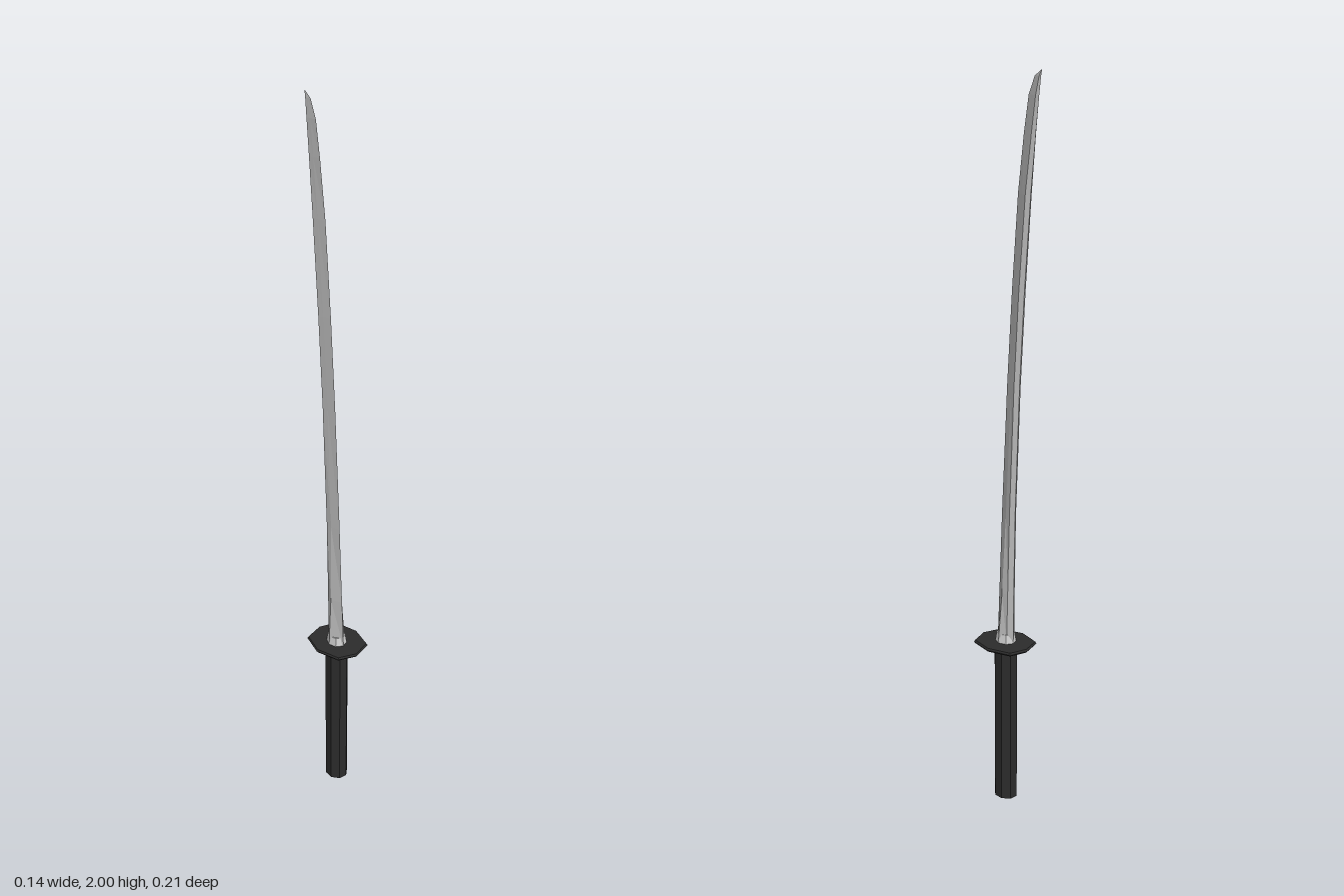
import * as THREE from 'three';

// Joins rings of [x, y, z] points into a closed flat-shaded solid
function loft(rings) {
  const pos = [];
  const n = rings[0].length;
  const tri = (a, b, c) => pos.push(...a, ...b, ...c);
  for (let i = 0; i < rings.length - 1; i++) {
    for (let j = 0; j < n; j++) {
      const k = (j + 1) % n;
      const [a, b, c, d] = [rings[i][j], rings[i][k], rings[i + 1][k], rings[i + 1][j]];
      tri(a, c, b);
      tri(a, d, c);
    }
  }
  const first = rings[0], last = rings[rings.length - 1];
  for (let j = 1; j < n - 1; j++) {
    tri(first[0], first[j], first[j + 1]);
    tri(last[0], last[j + 1], last[j]);
  }
  const g = new THREE.BufferGeometry();
  g.setAttribute('position', new THREE.Float32BufferAttribute(pos, 3));
  g.computeVertexNormals();
  return g;
}

export function createModel() {
  const model = new THREE.Group();
  const steel = new THREE.MeshStandardMaterial({ color: 0xb8b8b8 });
  steel.name = 'steel';
  const black = new THREE.MeshStandardMaterial({ color: 0x2c2c2c });
  black.name = 'black';
  const bright = new THREE.MeshStandardMaterial({ color: 0xcfcfcf });
  bright.name = 'brightSteel';
  const add = (name, geometry, material) => {
    const mesh = new THREE.Mesh(geometry, material);
    mesh.name = name;
    model.add(mesh);
    return mesh;
  };

  // Eight-sided grip
  const grip = new THREE.CylinderGeometry(1, 1, 0.467, 8).toNonIndexed();
  grip.rotateY(Math.PI / 8);
  grip.scale(0.031, 1, 0.035);
  grip.translate(-0.004, 0.2365, 0.019);
  grip.computeVertexNormals();
  add('grip', grip, black);

  // Thin octagonal guard, slightly turned, with a bevelled rim
  const outline = [[-0.073, 0.02], [-0.058, -0.047], [-0.003, -0.068], [0.049, -0.056],
    [0.072, 0.012], [0.059, 0.08], [0.005, 0.103], [-0.048, 0.088]];
  const guardRing = (y, s) => outline.map(([x, z]) => [x * s, y, 0.018 + (z - 0.018) * s]);
  add('guard', loft([guardRing(0.466, 0.95), guardRing(0.471, 1), guardRing(0.476, 0.96)]), black);

  // Collar at the root of the blade
  const collar = new THREE.CylinderGeometry(0.85, 1, 0.026, 8).toNonIndexed();
  collar.scale(0.027, 1, 0.031);
  collar.translate(-0.003, 0.488, 0.018);
  collar.computeVertexNormals();
  add('collar', collar, bright);

  // Curved blade: y, edge z, spine z, centre x, half width, extra flare at the root
  const sections = [
    [0.476, 0.05, -0.012, -0.003, 0.014, 0.018],
    [0.62, 0.044, -0.013, -0.004, 0.013, 0.009],
    [0.85, 0.035, -0.016, -0.006, 0.012, 0.002],
    [1.2, 0.016, -0.031, -0.007, 0.012, 0],
    [1.45, -0.001, -0.047, -0.008, 0.012, 0],
    [1.7, -0.022, -0.068, -0.009, 0.011, 0],
    [1.85, -0.042, -0.084, -0.01, 0.008, 0],
    [1.94, -0.058, -0.095, -0.01, 0.006, 0],
    [1.985, -0.079, -0.101, -0.01, 0.003, 0],
    [2, -0.102, -0.104, -0.01, 0.0004, 0],
  ];
  const rings = sections.map(([y, edge, spine, x, w, flare]) => {
    const depth = edge - spine;
    const back = spine + depth * 0.18;
    const mid = spine + depth * 0.5;
    const m = w * 0.62 + flare;
    return [
      [x, y, edge], [x - m, y, mid], [x - w, y, back],
      [x, y, spine], [x + w, y, back], [x + m, y, mid],
    ];
  });
  add('blade', loft(rings), steel);

  return model;
}
